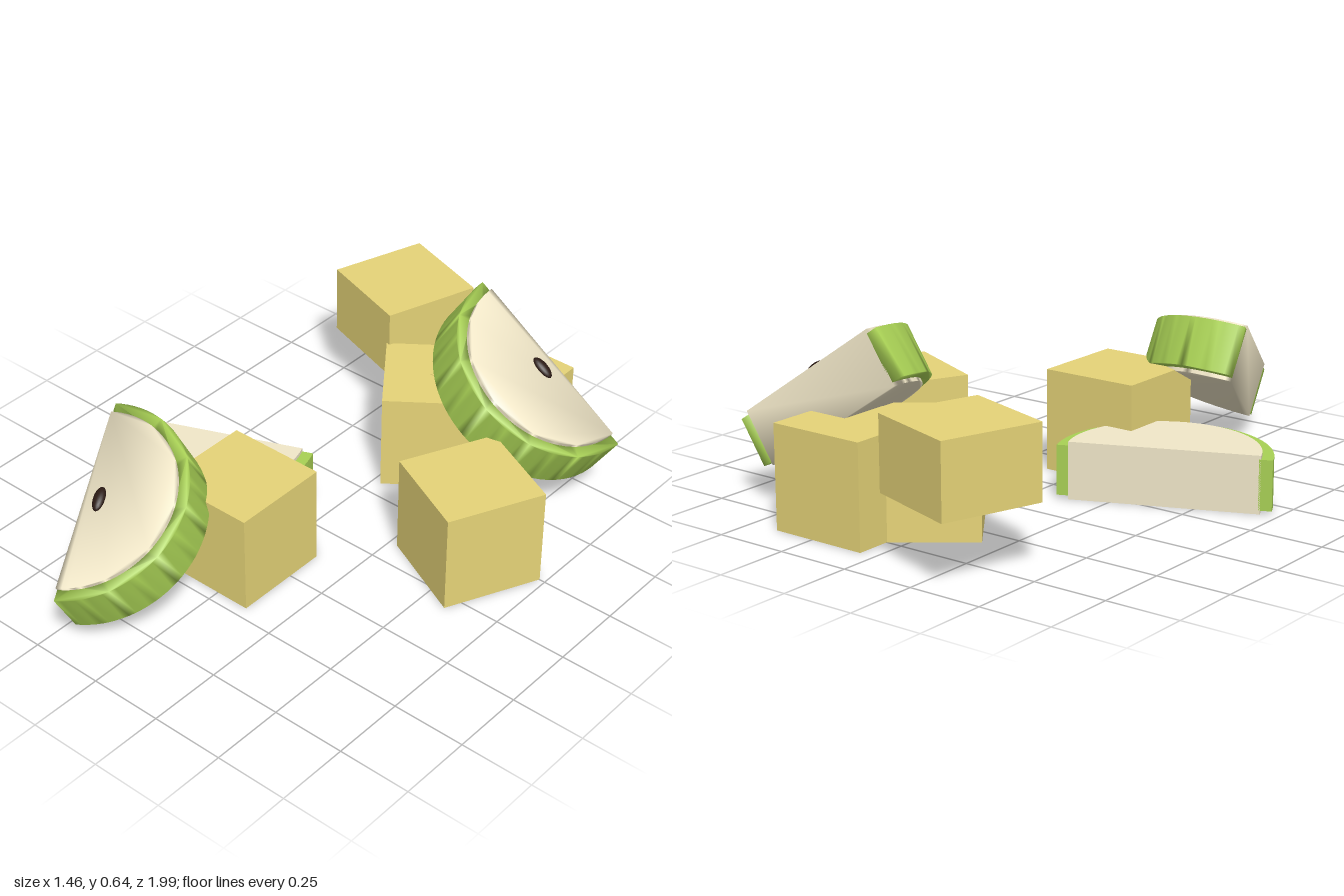
import * as THREE from 'three';
import { mergeVertices } from 'three/addons/utils/BufferGeometryUtils.js';

const cheese = new THREE.MeshStandardMaterial({ color: 0xe6d478 });
const colors = { skin: 0xa9d155, flesh: 0xf2e8c9, seed: 0x2b1a14 };

// Half disc (or half ring when inner > 0), diameter on x, arc toward +z, centred in y
function halfDisc(outer, inner, height, smooth) {
  const shape = new THREE.Shape();
  shape.absarc(0, 0, outer, 0, Math.PI, false);
  if (inner > 0) shape.absarc(0, 0, inner, Math.PI, 0, true);
  shape.closePath();
  let geo = new THREE.ExtrudeGeometry(shape, { depth: height, bevelEnabled: false, curveSegments: 24 });
  geo.rotateX(Math.PI / 2);
  geo.translate(0, height / 2, 0);
  if (smooth) {
    // share vertices so shading rolls softly over the edges
    geo.deleteAttribute('normal');
    geo.deleteAttribute('uv');
    geo = mergeVertices(geo, 1e-4);
    geo.computeVertexNormals();
  }
  return geo;
}

function part(name, geometry, color, flatShading) {
  const mesh = new THREE.Mesh(geometry, new THREE.MeshStandardMaterial({ color, flatShading }));
  mesh.name = name;
  return mesh;
}

// Apple slice: green rim around a slightly thicker pale half disc, with an optional seed
function appleSlice(name, position, rotation, smooth) {
  const slice = new THREE.Group();
  slice.name = name;
  slice.add(part('skin', halfDisc(0.343, 0.3, 0.165, smooth), colors.skin, !smooth));
  slice.add(part('flesh', halfDisc(0.306, 0, 0.19, smooth), colors.flesh, !smooth));
  if (smooth) {
    const seed = part('seed', new THREE.SphereGeometry(1, 20, 12), colors.seed, false);
    seed.scale.set(0.042, 0.016, 0.02);
    seed.position.set(0, 0.095, 0.053);
    slice.add(seed);
  }
  slice.position.set(...position);
  slice.rotation.set(...rotation);
  return slice;
}

export function createModel() {
  const model = new THREE.Group();
  model.name = 'cheeseAndAppleSlices';

  // Cheese cubes: x, z, bottom, height, turn about y
  const cubes = [
    [-0.05, 0.29, 0, 0.34, 0],
    [0.225, -0.7, 0, 0.34, 0],
    [0.505, -0.17, 0, 0.34, -0.44],
    [0.065, -0.545, 0, 0.338, 0.64],
    [-0.265, -0.79, 0.215, 0.24, -0.32],
  ];
  cubes.forEach(([x, z, bottom, height, turn], i) => {
    const cube = new THREE.Mesh(new THREE.BoxGeometry(0.338, height, 0.338), cheese);
    cube.name = `cheeseCube${i + 1}`;
    cube.position.set(x, bottom + height / 2, z);
    cube.rotation.y = turn;
    model.add(cube);
  });

  // One slice lies flat, two lean on the cubes
  model.add(appleSlice('flatAppleSlice', [-0.41, 0.095, 0.025], [0, 0.4, 0], false));
  model.add(appleSlice('backAppleSlice', [0.362, 0.383, -0.705], [0, 0, -0.59], true));
  model.add(appleSlice('frontAppleSlice', [-0.312, 0.282, 0.665], [0.5, 1.97, 0], true));

  return model;
}
